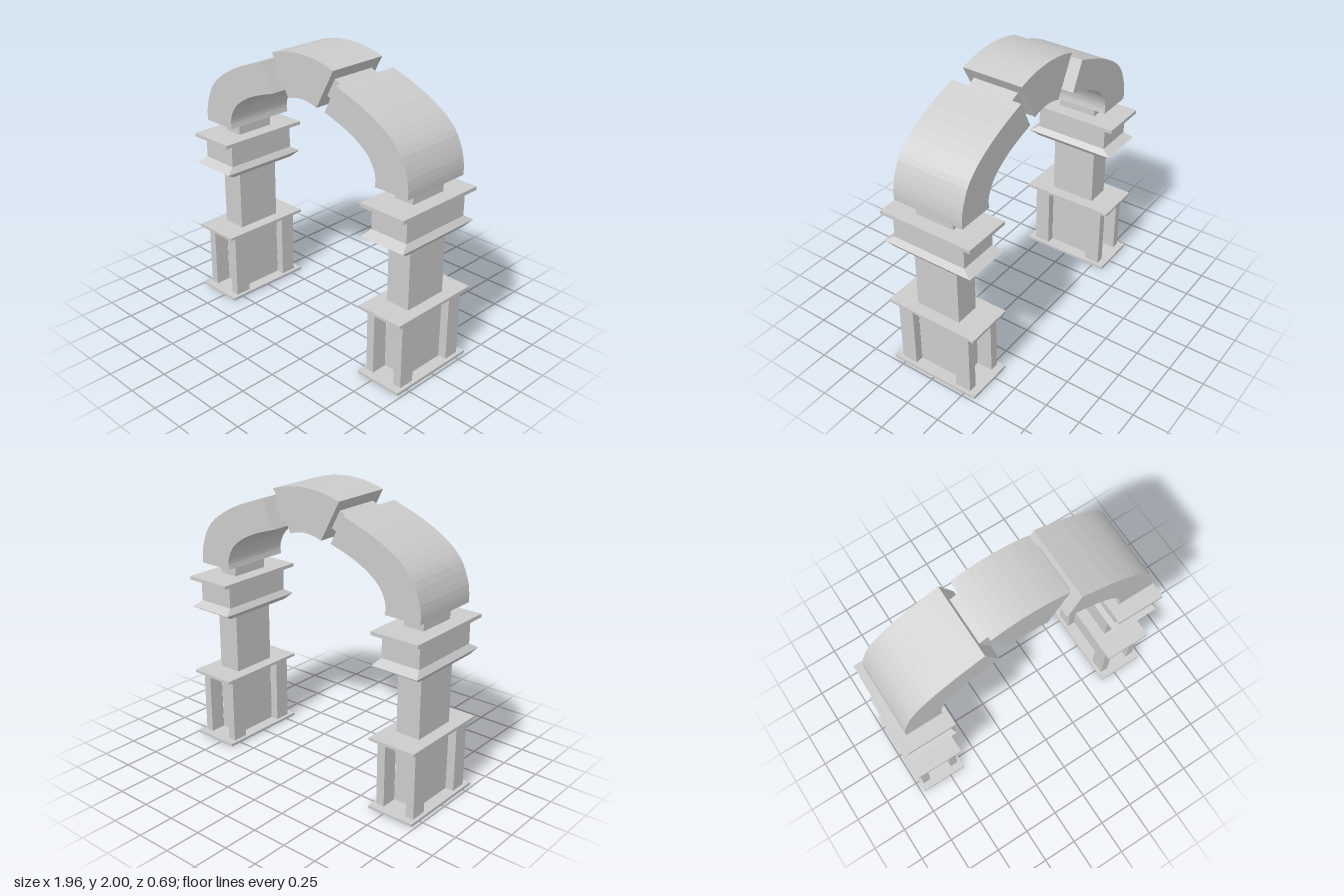
import * as THREE from 'three';

const mat = new THREE.MeshStandardMaterial({ color: 0xcccccc, flatShading: true });

function add(parent, geo, name) {
  const mesh = new THREE.Mesh(geo, mat);
  mesh.name = name;
  parent.add(mesh);
  return mesh;
}

// Rectangular block between two heights, with half sizes at the bottom and top
function block(parent, name, y0, y1, hx, hz, hxTop = hx, hzTop = hz, cx = 0, cz = 0) {
  const geo = new THREE.BoxGeometry(2, 1, 2).toNonIndexed();
  const p = geo.attributes.position;
  for (let i = 0; i < p.count; i++) {
    const top = p.getY(i) > 0;
    p.setXYZ(i, cx + p.getX(i) * (top ? hxTop : hx), top ? y1 : y0, cz + p.getZ(i) * (top ? hzTop : hz));
  }
  geo.computeVertexNormals();
  return add(parent, geo, name);
}

// Front outline pushed out evenly to both sides of z = 0
function slab(parent, name, shape, halfDepth, curveSegments = 12) {
  const geo = new THREE.ExtrudeGeometry(shape, { depth: 2 * halfDepth, bevelEnabled: false, curveSegments });
  geo.translate(0, 0, -halfDepth);
  return add(parent, geo, name);
}

function buildPillar() {
  const g = new THREE.Group();
  block(g, 'basePlate', 0, 0.02, 0.173, 0.338);
  block(g, 'shaft', 0.02, 1.05, 0.088, 0.168);
  for (const sx of [-1, 1]) for (const sz of [-1, 1]) {
    block(g, 'cornerPost', 0.02, 0.5, 0.03, 0.0575, 0.03, 0.0575, sx * 0.118, sz * 0.2275);
  }
  block(g, 'pedestalTop', 0.5, 0.52, 0.173, 0.345);
  // Bevelled collar below the capital
  block(g, 'collarLower', 0.975, 1.012, 0.146, 0.275, 0.172, 0.337);
  block(g, 'collarUpper', 1.012, 1.05, 0.172, 0.337, 0.142, 0.272);
  block(g, 'capital', 1.05, 1.215, 0.141, 0.273);
  block(g, 'capitalPlate', 1.215, 1.24, 0.175, 0.345);
  block(g, 'neck', 1.24, 1.36, 0.073, 0.143);
  return g;
}

export function createModel() {
  const model = new THREE.Group();
  model.name = 'archway';

  // Outer edge going up, inner edge coming down
  const outer = [[0.934, 1.33], [0.934, 1.39], [0.92, 1.47], [0.877, 1.575], [0.82, 1.645], [0.73, 1.715], [0.571, 1.8], [0.339, 1.887]];
  const inner = [[0.243, 1.692], [0.36, 1.655], [0.465, 1.612], [0.556, 1.56], [0.625, 1.5], [0.665, 1.43], [0.676, 1.375], [0.67, 1.33]];

  for (const s of [-1, 1]) {
    const side = s > 0 ? 'left' : 'right';
    const pillar = buildPillar();
    pillar.name = side + 'Pillar';
    pillar.position.x = s * 0.805;
    model.add(pillar);

    const pts = (list) => list.map(([x, y]) => new THREE.Vector2(s * x, y));
    const arch = new THREE.Shape();
    const o = pts(outer), n = pts(inner);
    arch.moveTo(o[0].x, o[0].y);
    arch.splineThru(o.slice(1));
    arch.lineTo(n[0].x, n[0].y);
    arch.splineThru(n.slice(1));
    slab(model, side + 'ArchSegment', arch, 0.26, 2);

    // Narrow link between arch segment and keystone
    const link = new THREE.Shape(pts([[0.36, 1.83], [0.3, 1.709], [0.14, 1.771], [0.205, 1.897]]));
    slab(model, side + 'Link', link, 0.165);
  }

  // Wedge-shaped keystone with curved top and underside
  const key = new THREE.Shape();
  key.moveTo(-0.275, 1.955);
  key.quadraticCurveTo(0, 2.045, 0.275, 1.955);
  key.lineTo(0.13, 1.682);
  key.quadraticCurveTo(0, 1.732, -0.13, 1.682);
  slab(model, 'keystone', key, 0.22, 10);

  return model;
}
